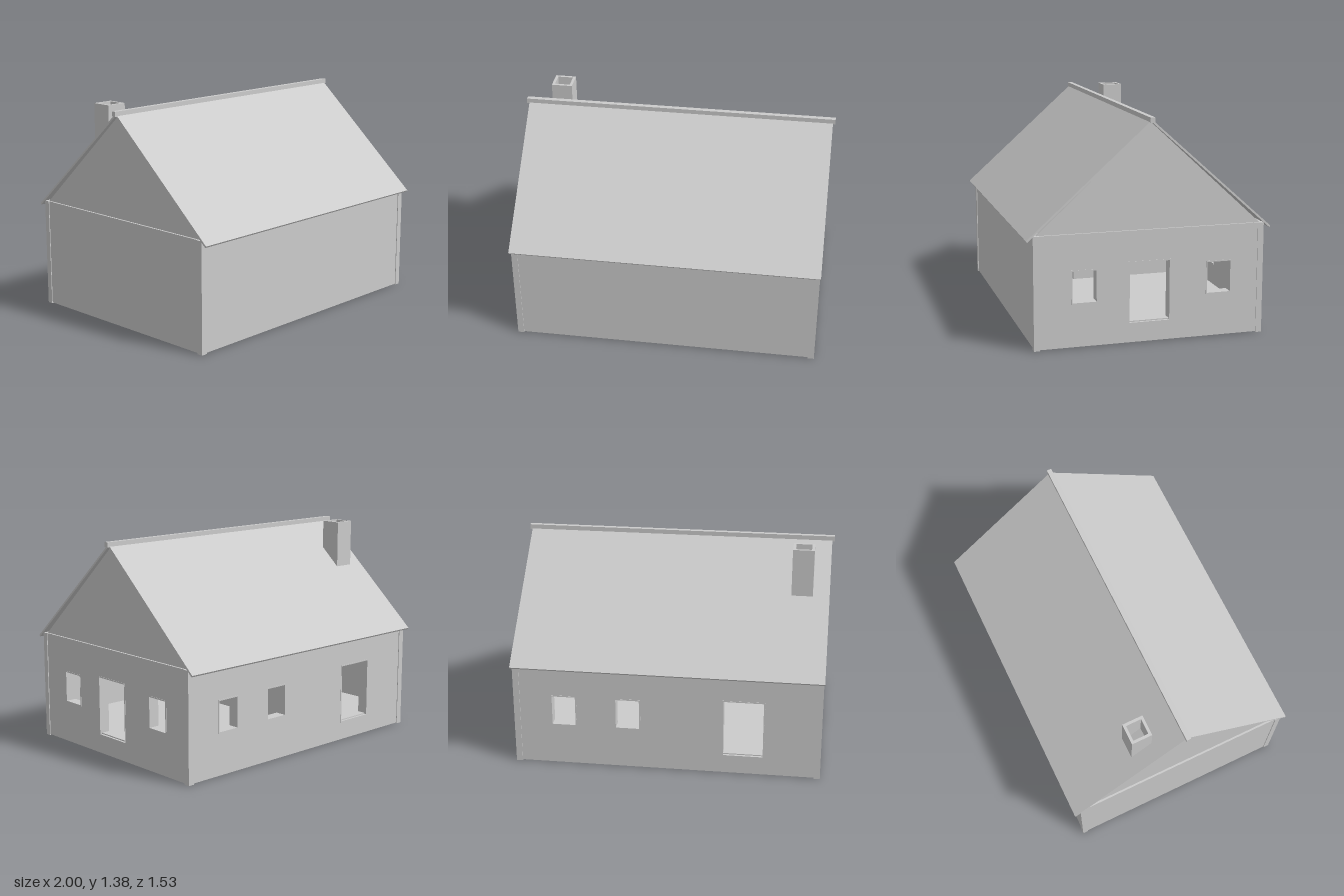
import * as THREE from 'three';

const material = new THREE.MeshStandardMaterial({ color: 0xcccccc, side: THREE.DoubleSide, flatShading: true });
const X = 0.975, Z = 0.72, EAVE = 0.7, FLOOR = 0.125, SKIN = 0.012, LINING = 0.055;
const FRAME = 0.008;

function add(parent, name, geometry, x = 0, y = 0, z = 0) {
  const mesh = new THREE.Mesh(geometry, material);
  mesh.name = name;
  mesh.position.set(x, y, z);
  parent.add(mesh);
  return mesh;
}

// Box given by its lower and upper corners
function box(parent, name, [x0, y0, z0], [x1, y1, z1]) {
  return add(parent, name, new THREE.BoxGeometry(x1 - x0, y1 - y0, z1 - z0),
    (x0 + x1) / 2, (y0 + y1) / 2, (z0 + z1) / 2);
}

function path(Type, points) {
  return new Type(points.map(([x, y]) => new THREE.Vector2(x, y)));
}

const rect = (Type, [u0, u1, v0, v1]) => path(Type, [[u0, v0], [u1, v0], [u1, v1], [u0, v1]]);

// Upright panel with holes; its outer face lies on z = 0
function panel(bounds, holes, depth) {
  const shape = rect(THREE.Shape, bounds);
  shape.holes = holes.map(h => rect(THREE.Path, h));
  return new THREE.ExtrudeGeometry(shape, { depth, bevelEnabled: false }).translate(0, 0, -depth);
}

// One side of the house: outer skin, inner lining and frames in the openings
function wall(name, half, distance, turn, openings) {
  const side = new THREE.Group();
  side.name = name;
  add(side, 'outerSkin', panel([-half, half, 0.005, EAVE], openings, SKIN), 0, 0, distance);
  const inner = half - SKIN;
  const liningHoles = openings.map(([a, b, c, d]) => [a, b, Math.max(c, FLOOR + 0.002), d]);
  add(side, 'innerLining', panel([-inner, inner, FLOOR, EAVE], liningHoles, LINING), 0, 0, distance - SKIN);
  for (const o of openings) {
    const hole = [o[0] + FRAME, o[1] - FRAME, o[2] + FRAME, o[3] - FRAME];
    add(side, 'openingFrame', panel(o, [hole], SKIN + LINING + 0.004), 0, 0, distance + 0.002);
  }
  side.rotation.y = turn;
  return side;
}

export function createModel() {
  const house = new THREE.Group();
  house.name = 'house';

  // Walls; opening bounds run left to right as seen from outside
  house.add(
    wall('frontWall', X - 0.001, Z, 0, []),
    wall('backWall', X - 0.001, Z, Math.PI, [
      [-0.74, -0.574, 0.27, 0.48], [-0.33, -0.164, 0.27, 0.48], [0.355, 0.623, 0.12, 0.51]]),
    wall('leftWall', Z - 0.001, X, Math.PI / 2, [
      [-0.495, -0.33, 0.27, 0.48], [-0.14, 0.128, 0.12, 0.51], [0.355, 0.52, 0.27, 0.48]]),
    wall('rightWall', Z - 0.001, X, -Math.PI / 2, []),
  );

  // Gables, set back by the thickness of the skin
  for (const s of [1, -1]) {
    const triangle = path(THREE.Shape, [[-0.712, EAVE - 0.01], [0.712, EAVE - 0.01], [0, 1.345]]);
    const geometry = new THREE.ExtrudeGeometry(triangle, { depth: 0.02, bevelEnabled: false });
    const gable = add(house, 'gable', geometry.translate(0, 0, -0.02), s * (X - SKIN), 0, 0);
    gable.rotation.y = s * Math.PI / 2;
  }

  // L-shaped corner boards
  for (const sx of [1, -1]) for (const sz of [1, -1]) {
    const outline = [[0.98, 0.725], [0.94, 0.725], [0.94, 0.71], [0.965, 0.71], [0.965, 0.688], [0.98, 0.688]];
    const corner = path(THREE.Shape, outline.map(([x, z]) => [sx * x, -sz * z]));
    const geometry = new THREE.ExtrudeGeometry(corner, { depth: EAVE, bevelEnabled: false });
    add(house, 'cornerBoard', geometry.rotateX(-Math.PI / 2));
  }

  // Floor, ceiling and partition with a doorway
  box(house, 'floor', [-0.962, FLOOR, -0.707], [0.962, FLOOR + 0.01, 0.707]);
  box(house, 'ceiling', [-0.96, 0.685, -0.705], [0.96, 0.695, 0.705]);
  const partition = new THREE.Group();
  partition.name = 'partition';
  house.add(partition);
  box(partition, 'partitionFront', [-0.16, FLOOR, 0.455], [-0.06, 0.69, 0.68]);
  box(partition, 'partitionBack', [-0.16, FLOOR, -0.68], [-0.06, 0.69, 0.22]);
  box(partition, 'doorLintel', [-0.16, 0.51, 0.22], [-0.06, 0.69, 0.455]);

  // Roof slopes extruded along the ridge
  for (const s of [1, -1]) {
    const profile = path(THREE.Shape, [[0, 1.362], [s * 0.767, 0.678], [s * 0.76, 0.668], [0, 1.346]]);
    const geometry = new THREE.ExtrudeGeometry(profile, { depth: 1.97, bevelEnabled: false });
    add(house, 'roofSlope', geometry.translate(0, 0, -0.985).rotateY(-Math.PI / 2));
  }
  box(house, 'ridgeCap', [-1, 1.345, -0.015], [1, 1.377, 0.015]);

  // Hollow chimney standing through the back slope
  const flue = rect(THREE.Shape, [-0.0675, 0.0675, -0.0675, 0.0675]);
  flue.holes.push(rect(THREE.Path, [-0.05, 0.05, -0.05, 0.05]));
  const chimney = new THREE.ExtrudeGeometry(flue, { depth: 0.36, bevelEnabled: false });
  add(house, 'chimney', chimney.rotateX(-Math.PI / 2), -0.8125, 1.02, -0.2525);

  return house;
}
